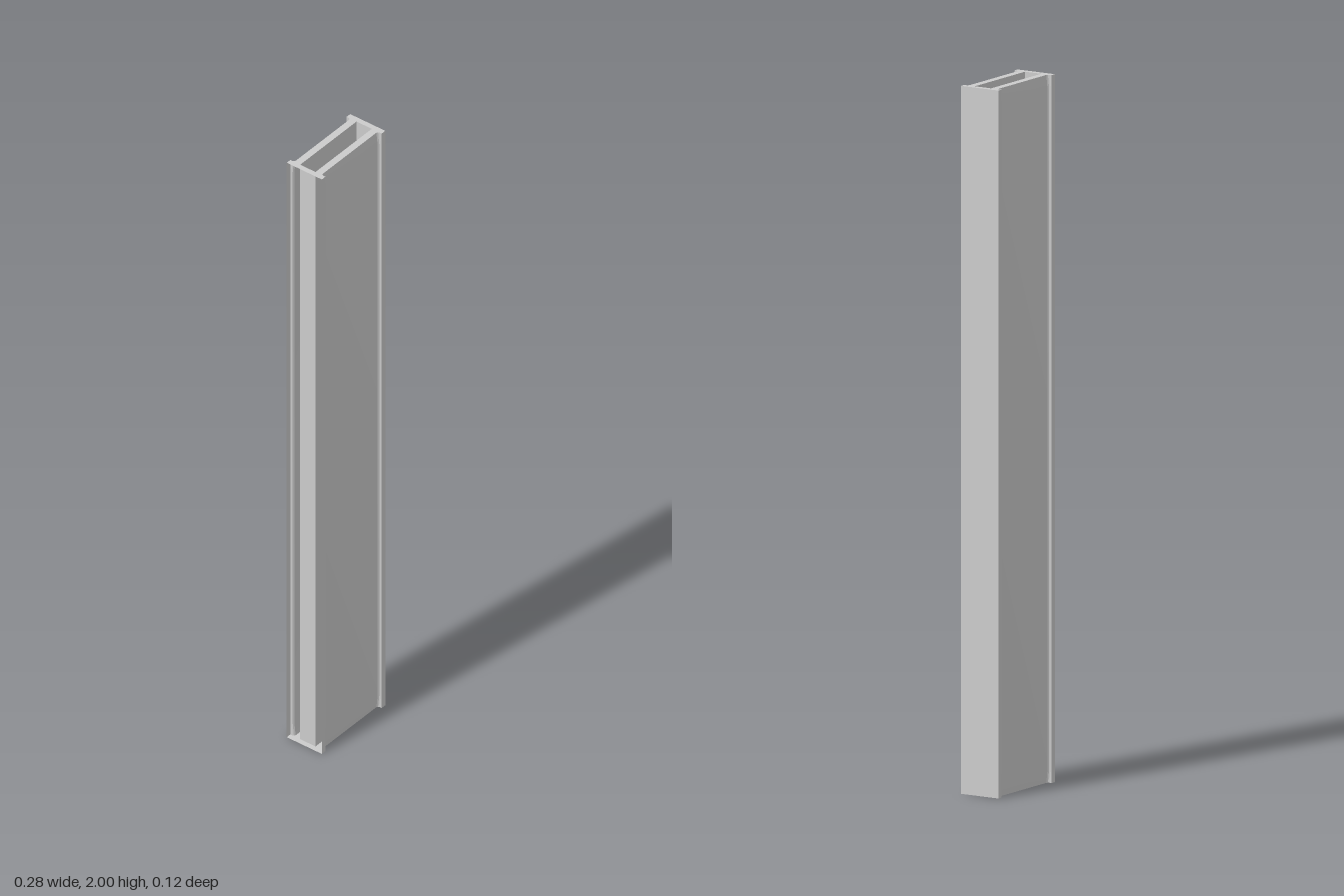
import * as THREE from 'three';
import { toCreasedNormals } from 'three/addons/utils/BufferGeometryUtils.js';

const HEIGHT = 2, END = 0.04, INSET = 0.004;
const OUT = 0.142, IN = 0.126, LIP = 0.062, PANEL = 0.052, CAVITY = 0.027;

// Hollow section: two side flanges joined by two panels with small fillets
function sectionShape() {
  const quarter = [[OUT, LIP], [IN, LIP], [IN, 0.058], [0.1245, 0.0545], [0.12, PANEL]];
  const mirror = (sx, sy) => quarter.map(([x, y]) => new THREE.Vector2(x * sx, y * sy));
  const shape = new THREE.Shape([
    ...mirror(1, 1), ...mirror(-1, 1).reverse(),
    ...mirror(-1, -1), ...mirror(1, -1).reverse(),
  ]);
  shape.holes.push(new THREE.Path([
    new THREE.Vector2(-IN, -CAVITY), new THREE.Vector2(-IN, CAVITY),
    new THREE.Vector2(IN, CAVITY), new THREE.Vector2(IN, -CAVITY),
  ]));
  return shape;
}

function columnGeometry() {
  const geo = new THREE.ExtrudeGeometry(sectionShape(), { depth: 3, steps: 3, bevelEnabled: false });
  geo.rotateX(-Math.PI / 2);
  const levels = [0, END, HEIGHT - END, HEIGHT];
  const pos = geo.attributes.position;
  for (let i = 0; i < pos.count; i++) {
    const level = Math.round(pos.getY(i)), x = pos.getX(i), z = pos.getZ(i);
    pos.setY(i, levels[level]);
    // Panels taper slightly inward at both ends
    const onPanel = Math.abs(x) < IN + 0.001 && Math.abs(z) > 0.045 && Math.abs(z) < 0.06;
    if (onPanel && (level === 0 || level === 3)) pos.setZ(i, z - Math.sign(z) * INSET);
  }
  // The outer face of the -x flange is left open
  const kept = [];
  for (let i = 0; i < pos.count; i += 3) {
    const open = [0, 1, 2].every((k) => pos.getX(i + k) < -OUT + 0.0005);
    if (!open) for (let k = 0; k < 3; k++) kept.push(pos.getX(i + k), pos.getY(i + k), pos.getZ(i + k));
  }
  const result = new THREE.BufferGeometry();
  result.setAttribute('position', new THREE.Float32BufferAttribute(kept, 3));
  result.computeVertexNormals();
  return toCreasedNormals(result, 0.3);
}

export function createModel() {
  const group = new THREE.Group();
  group.name = 'column';
  const material = new THREE.MeshStandardMaterial({ color: 0xcccccc, side: THREE.DoubleSide });
  const body = new THREE.Mesh(columnGeometry(), material);
  body.name = 'columnBody';
  group.add(body);
  return group;
}
